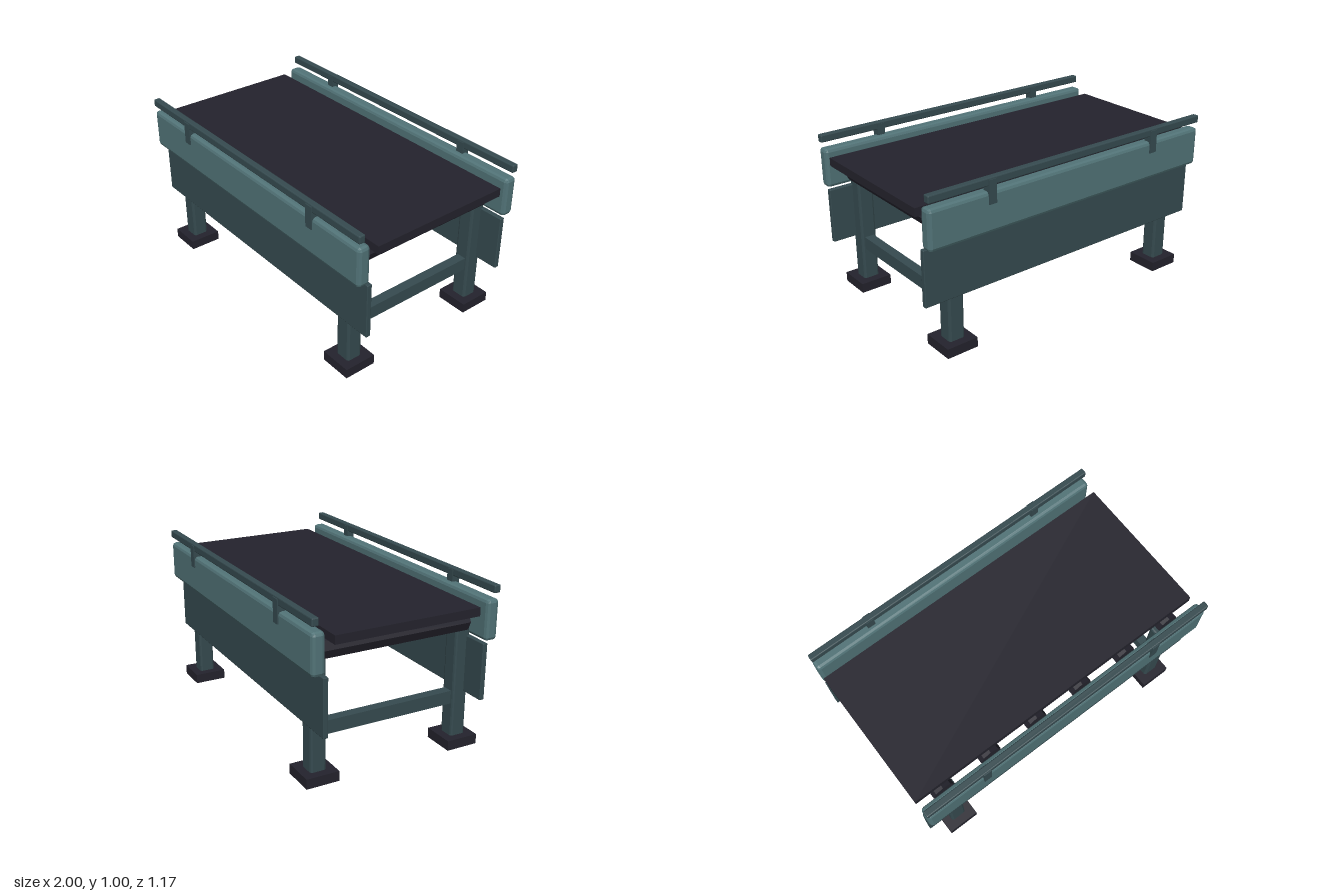
import * as THREE from 'three';
import { RoundedBoxGeometry } from 'three/addons/geometries/RoundedBoxGeometry.js';

function makeMaterial(name, color) {
  const m = new THREE.MeshStandardMaterial({ color });
  m.name = name;
  return m;
}

// Box with single-segment chamfered edges and flat faces
function chamferBox(w, h, d, c) {
  const g = new RoundedBoxGeometry(w, h, d, 1, c);
  const flat = g.index ? g.toNonIndexed() : g;
  flat.computeVertexNormals();
  return flat;
}

export function createModel() {
  const beamTeal = makeMaterial('beam teal', 0x527478);
  const frameTeal = makeMaterial('frame dark teal', 0x364b50);
  const rubber = makeMaterial('rubber black', 0x24232d);

  const model = new THREE.Group();
  model.name = 'conveyor';

  function add(name, geometry, material, x, y, z) {
    const mesh = new THREE.Mesh(geometry, material);
    mesh.name = name;
    mesh.position.set(x, y, z);
    model.add(mesh);
    return mesh;
  }

  // Belt slab
  add('belt', new THREE.BoxGeometry(2, 0.05, 0.9), rubber, 0, 0.865, 0);

  // Octagonal rollers running across under the belt
  const rollerGeo = new THREE.CylinderGeometry(0.07, 0.07, 0.94, 8).rotateX(Math.PI / 2).toNonIndexed();
  rollerGeo.computeVertexNormals();
  for (let i = 0; i < 6; i++) {
    add('roller', rollerGeo, rubber, -0.83 + i * 0.332, 0.77, 0);
  }

  // Shared geometries for the mirrored sides
  const beamGeo = chamferBox(2, 0.24, 0.078, 0.02);
  const panelGeo = chamferBox(2, 0.34, 0.03, 0.004);
  const railGeo = chamferBox(2, 0.046, 0.04, 0.006);
  const postGeo = new THREE.BoxGeometry(0.05, 0.14, 0.05);
  const legGeo = chamferBox(0.1, 0.71, 0.096, 0.013);
  const footGeo = new THREE.BoxGeometry(0.2, 0.06, 0.2);

  for (const s of [1, -1]) {
    // Side beam, skirt panel and guard rail
    add('sideBeam', beamGeo, beamTeal, 0, 0.8, s * 0.539);
    add('sidePanel', panelGeo, frameTeal, 0, 0.502, s * 0.5);
    add('guardRail', railGeo, frameTeal, 0, 0.977, s * 0.559);

    for (const x of [-1, 1]) {
      add('railPost', postGeo, frameTeal, x * 0.6, 0.92, s * 0.56);
      add('leg', legGeo, frameTeal, x * 0.8, 0.365, s * 0.461);
      add('foot', footGeo, rubber, x * 0.8, 0.03, s * 0.46);
    }
  }

  // Cross braces joining each pair of legs
  const braceGeo = new THREE.BoxGeometry(0.06, 0.08, 0.84);
  for (const x of [-0.8, 0.8]) add('crossBrace', braceGeo, frameTeal, x, 0.3, 0);

  return model;
}
